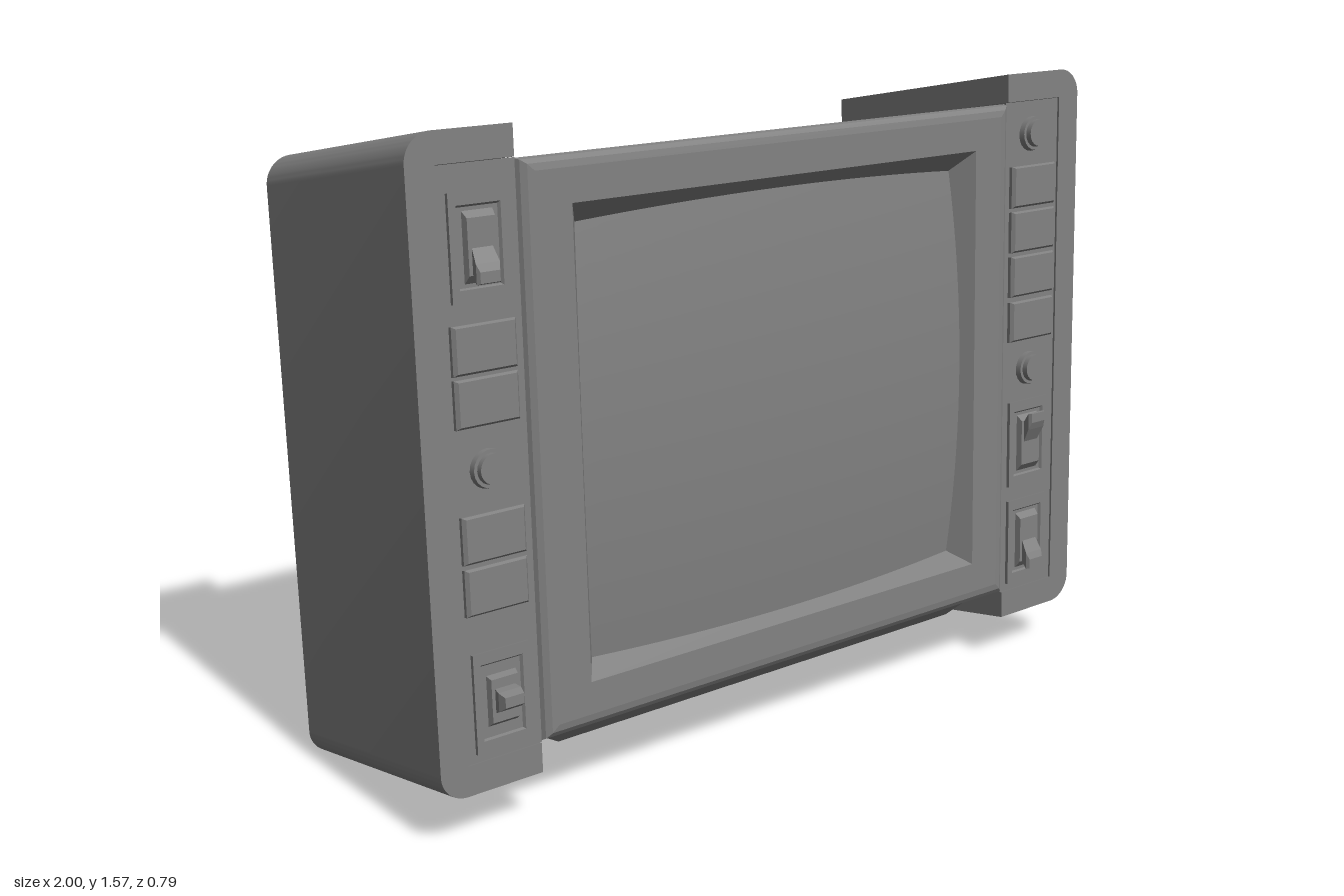
import * as THREE from 'three';
import { toCreasedNormals } from 'three/addons/utils/BufferGeometryUtils.js';

// Leaning frame: x across, v up the front face, w outward from the front face
const lean = new THREE.Matrix4().makeBasis(
  new THREE.Vector3(1, 0, 0), new THREE.Vector3(0, 1, -0.038), new THREE.Vector3(0, 0.194, 1)
).setPosition(0, 0.125, 0.355);

// Flat-faced skin through rectangles [x0, x1, v0, v1, w], optionally capped at each end
function loft(rings, capStart = true, capEnd = true) {
  const pos = [];
  const corners = rings.map(([x0, x1, y0, y1, z]) => [[x0, y0, z], [x1, y0, z], [x1, y1, z], [x0, y1, z]]);
  const quad = (a, b, c, d) => pos.push(...a, ...b, ...c, ...a, ...c, ...d);
  for (let i = 0; i < corners.length - 1; i++) {
    const p = corners[i], q = corners[i + 1];
    for (let k = 0; k < 4; k++) {
      const n = (k + 1) % 4;
      quad(p[k], p[n], q[n], q[k]);
    }
  }
  if (capStart) quad(...[...corners[0]].reverse());
  if (capEnd) quad(...corners[corners.length - 1]);
  const g = new THREE.BufferGeometry();
  g.setAttribute('position', new THREE.Float32BufferAttribute(pos, 3));
  g.computeVertexNormals();
  return g;
}

export function createModel() {
  const model = new THREE.Group();
  model.name = 'displayUnit';
  const grey = new THREE.MeshStandardMaterial({ color: 0x808080 });
  grey.name = 'casing grey';

  function add(name, geometry) {
    geometry.applyMatrix4(lean);
    const mesh = new THREE.Mesh(geometry, grey);
    mesh.name = name;
    model.add(mesh);
  }
  // Rectangle centred at (x, v) with half sizes
  const rect = (x, v, hx, hv, w) => [x - hx, x + hx, v - hv, v + hv, w];
  const MID = 0.7225;

  // Main casing with softened bezel edge and sloping screen surround
  add('casingAndBezel', loft([
    rect(0, MID, 0.738, 0.65, -0.605),
    rect(0, MID, 0.738, 0.65, -0.012),
    rect(0, MID, 0.73, 0.645, 0.003),
    rect(0, MID, 0.717, 0.634, 0.012),
    rect(0, MID, 0.70, 0.618, 0.015),
    rect(0, MID, 0.61, 0.541, 0.015),
    rect(0, MID, 0.55, 0.481, -0.065)
  ], true, false));

  // Bulging screen
  const screen = new THREE.PlaneGeometry(1.2, 1.08, 24, 24);
  const sp = screen.attributes.position;
  for (let i = 0; i < sp.count; i++) {
    const x = sp.getX(i) / 0.6, y = sp.getY(i) / 0.54;
    sp.setZ(i, 0.009 - 0.025 * x * x - 0.031 * y * y);
  }
  screen.computeVertexNormals();
  screen.translate(0, MID, 0);
  add('screen', screen);

  // Side brackets: rounded outer corners, open towards the casing
  const r = 0.065, H = 1.445;
  const c = new THREE.Shape();
  c.moveTo(0.74, 0);
  c.lineTo(1 - r, 0);
  c.absarc(1 - r, r, r, -Math.PI / 2, 0);
  c.lineTo(1, H - r);
  c.absarc(1 - r, H - r, r, 0, Math.PI / 2);
  c.lineTo(0.74, H);
  c.lineTo(0.74, H - 0.07);
  c.lineTo(0.93, H - 0.07);
  c.lineTo(0.93, 0.07);
  c.lineTo(0.74, 0.07);
  for (const side of [1, -1]) {
    let g = new THREE.ExtrudeGeometry(c, { depth: 0.62, bevelEnabled: false, curveSegments: 8 });
    g.translate(0, 0, -0.62);
    if (side < 0) g.rotateZ(Math.PI).translate(0, H, 0);
    g = toCreasedNormals(g, 0.6);
    add(side > 0 ? 'leftBracket' : 'rightBracket', g);
    add('controlPanel', loft([
      rect(side * 0.833, MID, 0.0965, 0.6515, -0.605),
      rect(side * 0.833, MID, 0.0965, 0.6515, -0.005)
    ]));
  }

  // Tapered back plate
  add('backPlate', loft([
    rect(0, MID, 0.80, 0.553, -0.675),
    rect(0, 0.718, 0.86, 0.607, -0.615),
    rect(0, 0.718, 0.86, 0.607, -0.60)
  ]));

  // Two mounting rails, each with a shallow channel
  for (const x of [-0.72, 0.72]) {
    add('backRail', loft([
      rect(x, MID, 0.04, 0.50, -0.68),
      rect(x, MID, 0.06, 0.53, -0.697),
      rect(x, MID, 0.08, 0.549, -0.697),
      rect(x, MID, 0.08, 0.549, -0.67)
    ]));
  }

  // Tapered tray under the casing
  add('undersideTray', loft([
    [-0.69, 0.69, -0.575, -0.05, -0.08],
    [-0.69, 0.69, -0.575, -0.05, -0.07],
    [-0.63, 0.63, -0.55, -0.10, -0.023]
  ]).rotateX(Math.PI / 2));

  // Push button with softened face
  function button(x, y) {
    const v = y - 0.125;
    add('pushButton', loft([
      rect(x, v, 0.079, 0.053, -0.01),
      rect(x, v, 0.079, 0.053, 0.004),
      rect(x, v, 0.072, 0.048, 0.012)
    ]));
  }

  // Round knob with a raised cap
  function knob(x, y) {
    for (const [radius, depth] of [[0.045, 0.022], [0.036, 0.036]]) {
      const g = new THREE.CylinderGeometry(radius * 0.95, radius, depth, 20);
      g.rotateX(Math.PI / 2).translate(x, y - 0.125, depth / 2 - 0.012);
      add('knob', g);
    }
  }

  // Switch: framed plate, rocker base and lever leaning up (1), down (-1) or straight out (0)
  function toggle(x, y, dir) {
    const v = y - 0.125;
    add('switchPlate', loft([
      rect(x, v, 0.072, 0.115, -0.01),
      rect(x, v, 0.072, 0.115, 0.004),
      rect(x, v, 0.054, 0.088, 0.004),
      rect(x, v, 0.050, 0.084, -0.003)
    ]));
    add('switchBase', loft([
      rect(x, v, 0.038, dir ? 0.078 : 0.06, -0.005),
      rect(x, v, 0.034, dir ? 0.06 : 0.05, 0.012)
    ]));
    add('switchLever', loft([
      rect(x, v + dir * 0.02, 0.024, 0.03, 0.005),
      rect(x, v + dir * 0.058, 0.029, 0.022, 0.03),
      rect(x, v + dir * 0.066, 0.024, 0.012, dir ? 0.038 : 0.05)
    ]));
  }

  // Controls on the model's right panel
  toggle(-0.835, 1.325, -1);
  for (const y of [1.112, 0.998, 0.702, 0.586]) button(-0.837, y);
  knob(-0.84, 0.85);
  toggle(-0.835, 0.33, 0);

  // Controls on the model's left panel
  knob(0.832, 1.415);
  for (const y of [1.282, 1.166, 1.05, 0.931]) button(0.832, y);
  knob(0.832, 0.80);
  toggle(0.83, 0.60, 1);
  toggle(0.83, 0.33, -1);

  return model;
}
